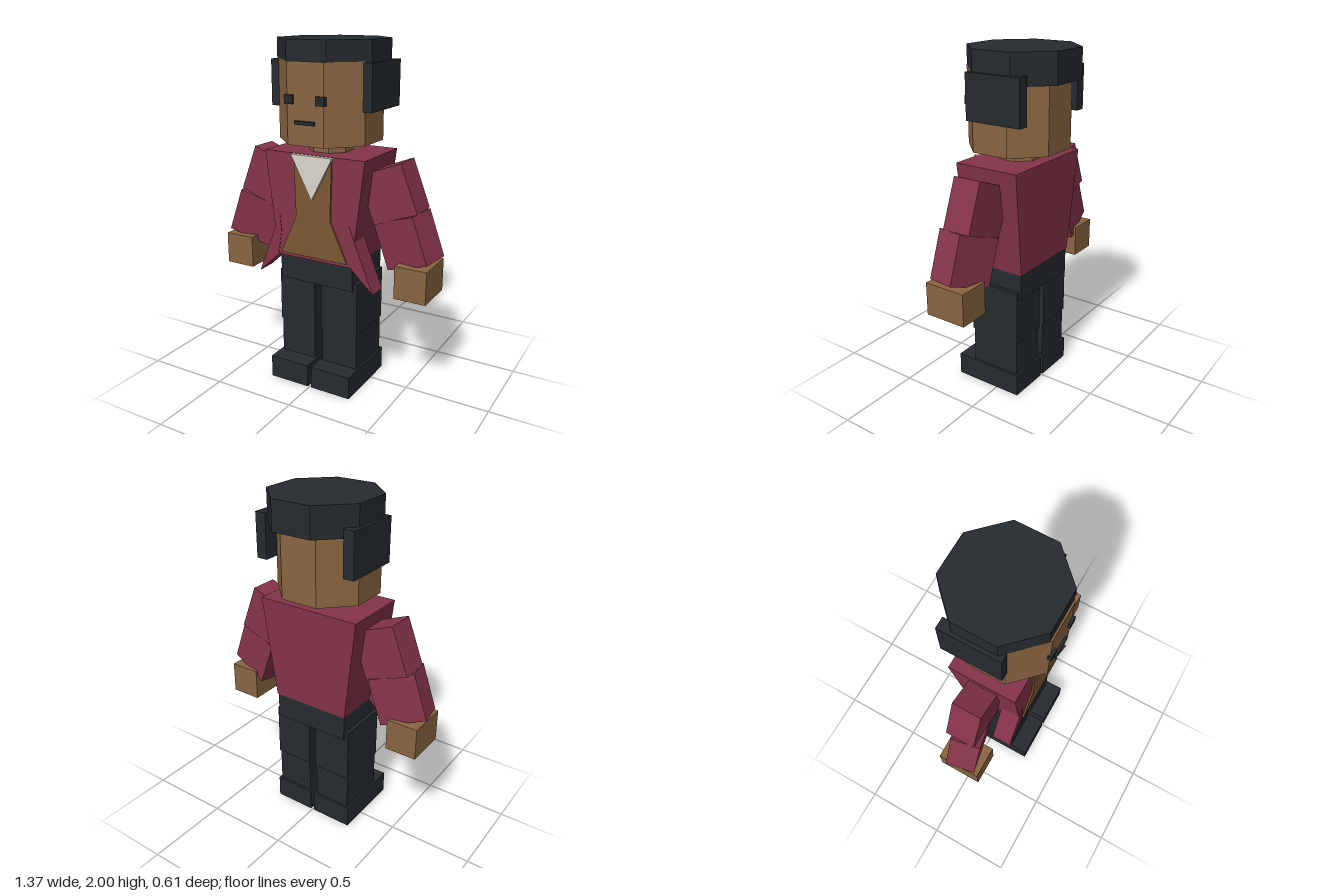
import * as THREE from 'three';

const paint = (color) => new THREE.MeshStandardMaterial({ color, flatShading: true });

export function createModel() {
  const model = new THREE.Group();
  const skin = paint(0x8a6541), dark = paint(0x252b2f), red = paint(0x86344a);
  const tan = paint(0x7c5833), white = paint(0xdcd7ca);

  const add = (name, geometry, material) => {
    const mesh = new THREE.Mesh(geometry, material);
    mesh.name = name;
    model.add(mesh);
    return mesh;
  };
  // Box given by its minimum and maximum on each axis
  const box = (name, material, [x0, x1], [y0, y1], [z0, z1]) => {
    const mesh = add(name, new THREE.BoxGeometry(Math.abs(x1 - x0), y1 - y0, z1 - z0), material);
    mesh.position.set((x0 + x1) / 2, (y0 + y1) / 2, (z0 + z1) / 2);
    return mesh;
  };
  // Upright eight-sided prism with flat faces towards the axes
  const octagon = (name, material, halfWidth, y0, y1, z) => {
    const r = halfWidth / Math.cos(Math.PI / 8);
    const geometry = new THREE.CylinderGeometry(r, r, y1 - y0, 8).rotateY(Math.PI / 8);
    add(name, geometry, material).position.set(0, (y0 + y1) / 2, z);
  };
  // Flat outline in x, y extruded from z0 to z1
  const panel = (name, material, points, z0, z1) => {
    const shape = new THREE.Shape(points.map(([x, y]) => new THREE.Vector2(x, y)));
    const geometry = new THREE.ExtrudeGeometry(shape, { depth: z1 - z0, bevelEnabled: false });
    add(name, geometry, material).position.z = z0;
  };

  // Head, hair and neck
  octagon('head', skin, 0.27, 1.45, 1.89, 0.02);
  octagon('hairCap', dark, 0.292, 1.83, 2, -0.012);
  octagon('neck', skin, 0.118, 1.37, 1.46, 0.015);
  box('mouth', dark, [-0.06, 0.06], [1.565, 1.585], [0.28, 0.305]);

  // Jacket body, narrowing towards the waist
  const jacket = new THREE.BoxGeometry(2, 0.61, 2);
  const p = jacket.attributes.position;
  for (let i = 0; i < p.count; i++) {
    const top = p.getY(i) > 0;
    p.setX(i, p.getX(i) * (top ? 0.315 : 0.24));
    p.setZ(i, p.getZ(i) > 0 ? 0.215 : top ? -0.183 : -0.165);
  }
  add('jacketBody', jacket, red).position.y = 1.085;

  // Shirt front and open collar
  panel('shirt', tan, [[-0.215, 0.8], [0.215, 0.8], [0.11, 1.03], [0.12, 1.385], [-0.12, 1.385], [-0.11, 1.03]], 0.19, 0.225);
  panel('collar', white, [[0, 1.14], [0.13, 1.388], [-0.13, 1.388]], 0.2, 0.24);

  box('hips', dark, [-0.236, 0.236], [0.63, 0.8], [-0.16, 0.195]);

  for (const s of [-1, 1]) {
    const side = s > 0 ? 'left' : 'right';
    box(side + 'Eye', dark, [s * 0.07, s * 0.122], [1.67, 1.718], [0.28, 0.305]);
    box(side + 'SideHair', dark, [s * 0.247, s * 0.312], [1.63, 1.885], [-0.205, 0.14]);

    // Pointed jacket tail flaring outwards
    panel(side + 'JacketTail', red, [[s * 0.225, 1.02], [s * 0.215, 0.93], [s * 0.24, 0.775], [s * 0.375, 0.65]], 0.1, 0.218);

    // Sleeves lean outwards; the lower one is also turned inwards
    const upper = box(side + 'UpperSleeve', red, [-0.135, 0.135], [0, 0.285], [-0.07, 0.102]);
    upper.position.set(s * 0.394, 1.193, 0.016);
    upper.rotation.z = s * 0.37;
    const lower = box(side + 'LowerSleeve', red, [-0.137, 0.137], [0, 0.275], [-0.085, 0.085]);
    lower.position.set(s * 0.495, 0.935, 0.025);
    lower.rotation.set(0, -s * 0.21, s * 0.345, 'ZYX');
    box(side + 'Hand', skin, [s * 0.474, s * 0.66], [0.63, 0.82], [-0.09, 0.16]);

    // Legs and shoes
    box(side + 'Thigh', dark, [s * 0.022, s * 0.256], [0.35, 0.67], [-0.145, 0.176]);
    box(side + 'Shin', dark, [s * 0.025, s * 0.252], [0.1, 0.36], [-0.137, 0.17]);
    box(side + 'Shoe', dark, [s * 0.012, s * 0.265], [0, 0.135], [-0.15, 0.28]);
  }
  return model;
}
